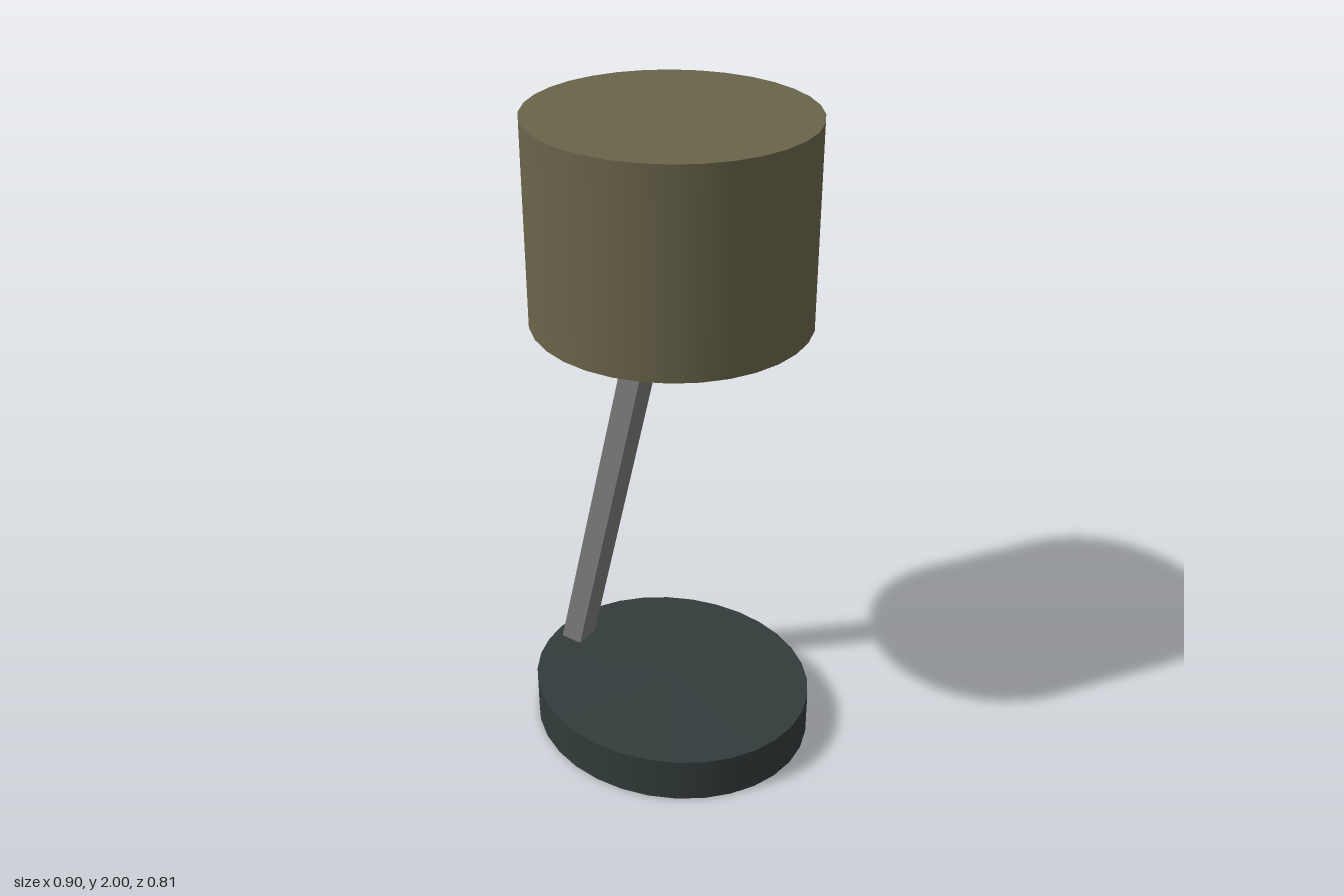
import * as THREE from 'three';

const material = (name, color) => {
  const m = new THREE.MeshStandardMaterial({ color });
  m.name = name;
  return m;
};

export function createModel() {
  const lamp = new THREE.Group();
  lamp.name = 'deskLamp';

  const olive = material('olive shade', 0x69644a);
  const slate = material('dark slate base', 0x323c3b);
  const grey = material('grey metal', 0x7b7b7b);

  // Closed elliptical drum between two heights
  const drum = (name, rx, rz, y0, y1, mat) => {
    const geometry = new THREE.CylinderGeometry(1, 1, y1 - y0, 32);
    geometry.scale(rx, 1, rz);
    const mesh = new THREE.Mesh(geometry, mat);
    mesh.name = name;
    mesh.position.y = (y0 + y1) / 2;
    lamp.add(mesh);
  };
  drum('base', 0.45, 0.405, 0, 0.143, slate);
  drum('shade', 0.405, 0.396, 1.413, 2, olive);

  // Leaning square arm, its ends sunk into the base and the shade
  const foot = new THREE.Vector2(-0.392, 0.09);
  const head = new THREE.Vector2(-0.06, 1.46);
  const lean = head.clone().sub(foot);
  const arm = new THREE.Mesh(new THREE.BoxGeometry(0.072, lean.length(), 0.08), grey);
  arm.name = 'arm';
  arm.position.set((foot.x + head.x) / 2, (foot.y + head.y) / 2, 0);
  arm.rotation.z = -Math.atan2(lean.x, lean.y);
  lamp.add(arm);

  return lamp;
}
